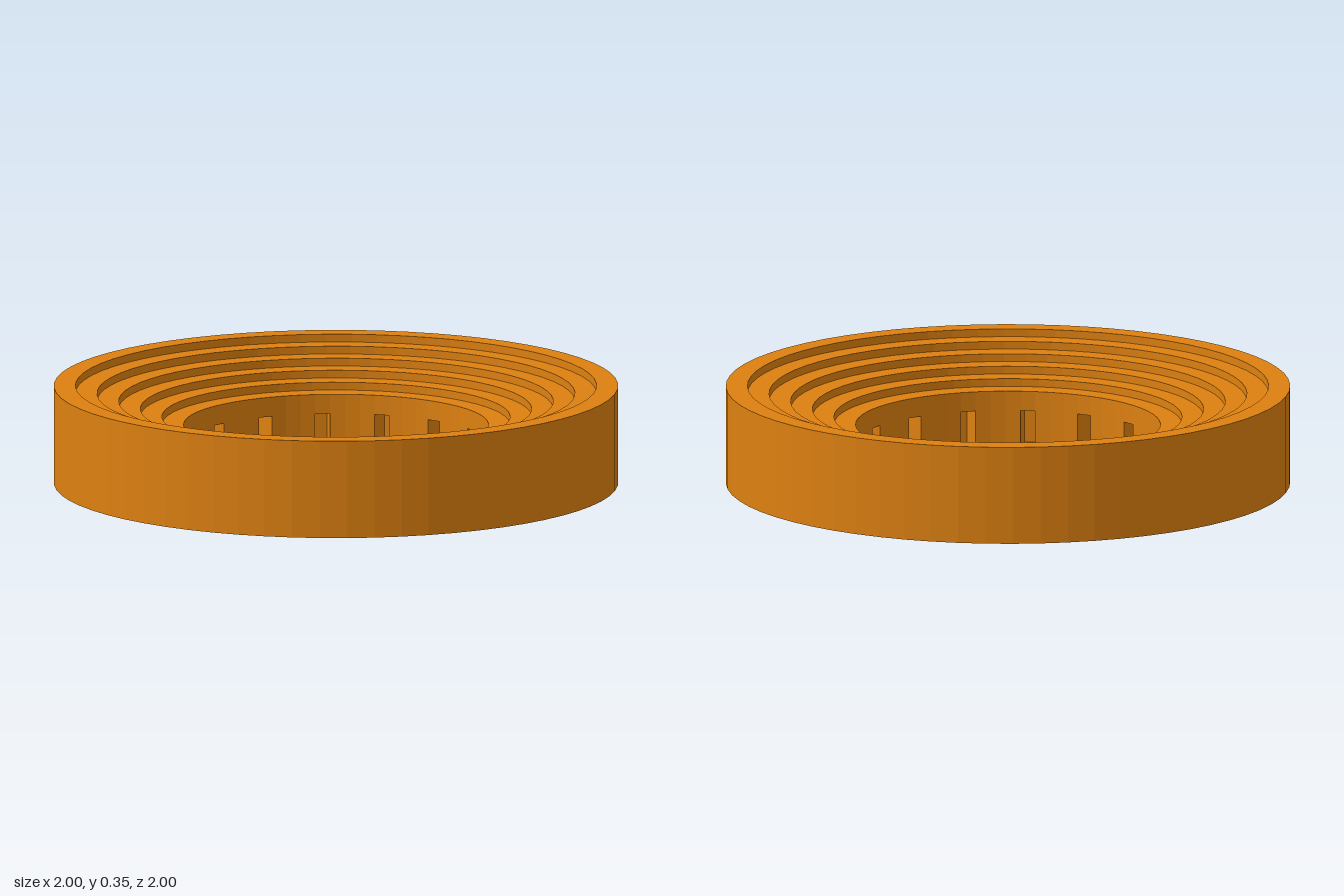
import * as THREE from 'three';

const SIDES = 64;
const STEP = (Math.PI * 2) / SIDES;
const PIT_R = 0.54, PIT_TOP = 0.21, NICHE_H = 0.14, NICHE_D = 0.12;

export function createModel() {
  const orange = new THREE.MeshStandardMaterial({ color: 0xdd8010, flatShading: true, side: THREE.DoubleSide });
  orange.name = 'orange';
  const group = new THREE.Group();
  group.name = 'steppedArena';
  const add = (geometry, name, parent = group) => {
    const mesh = new THREE.Mesh(geometry, orange);
    mesh.name = name;
    parent.add(mesh);
    return mesh;
  };

  // Thin shell: outer wall, rim, five treads down, then the upper pit wall
  const profile = [new THREE.Vector2(1, 0), new THREE.Vector2(1, 0.35)];
  for (let i = 0; i < 6; i++) {
    const r = 1 - (i + 1) * (1 - PIT_R) / 6;
    const y = 0.35 - i * 0.028;
    profile.push(new THREE.Vector2(r, y));
    profile.push(new THREE.Vector2(r, i < 5 ? y - 0.028 : NICHE_H));
  }
  add(new THREE.LatheGeometry(profile, SIDES), 'steppedShell');

  // Pit floor
  add(new THREE.CircleGeometry(PIT_R, SIDES).rotateX(-Math.PI / 2), 'pitFloor');

  // Lower pit wall: three facets of wall, then one facet opening into a niche
  const width = 2 * PIT_R * Math.sin(STEP / 2);
  const nicheGeometry = new THREE.BoxGeometry(width, NICHE_H, NICHE_D);
  nicheGeometry.setIndex(Array.from(nicheGeometry.index.array).slice(0, 30)); // open towards the pit
  nicheGeometry.clearGroups();
  nicheGeometry.translate(0, NICHE_H / 2, PIT_R * Math.cos(STEP / 2) + NICHE_D / 2);

  const walls = new THREE.Group();
  walls.name = 'lowerPitWall';
  const niches = new THREE.Group();
  niches.name = 'niches';
  group.add(walls, niches);
  const wallGeometry = new THREE.CylinderGeometry(PIT_R, PIT_R, NICHE_H, 3, 1, true, 0, STEP * 3);
  wallGeometry.translate(0, NICHE_H / 2, 0);
  for (let k = 0; k < SIDES / 4; k++) {
    add(wallGeometry, 'wallSection', walls).rotation.y = k * 4 * STEP;
    add(nicheGeometry, 'niche', niches).rotation.y = (k * 4 - 0.5) * STEP;
  }
  return group;
}
